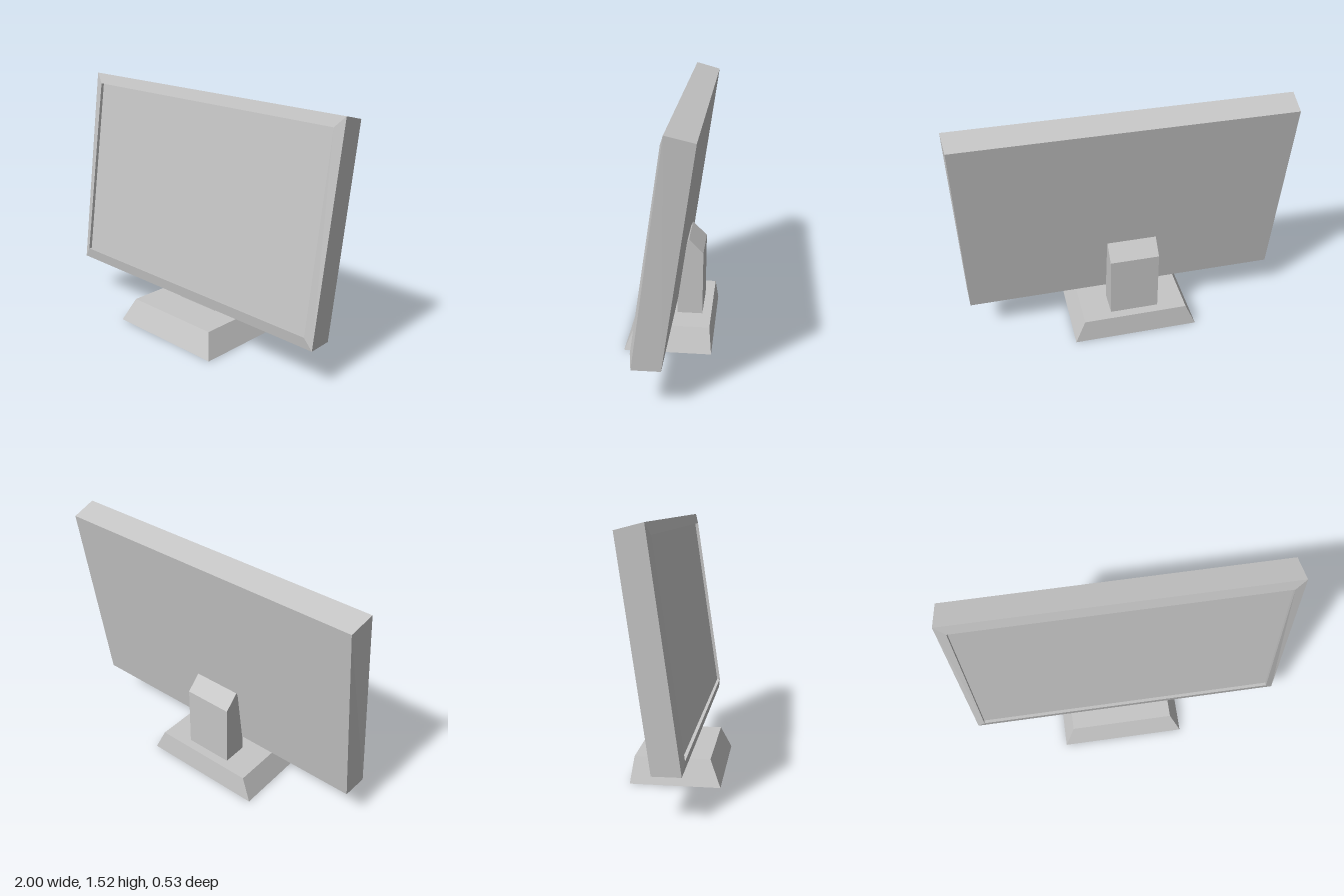
import * as THREE from 'three';

const grey = new THREE.MeshStandardMaterial({ color: 0xc6c6c6 });
grey.name = 'light grey plastic';

// Joins four-cornered rings (counter-clockwise seen from the last one) into a faceted solid.
function loft(rings, capStart = true, capEnd = true) {
  const pos = [];
  const quad = (a, b, c, d) => pos.push(...a, ...b, ...c, ...a, ...c, ...d);
  for (let r = 0; r < rings.length - 1; r++) {
    const p = rings[r], q = rings[r + 1];
    for (let i = 0; i < 4; i++) {
      const j = (i + 1) % 4;
      quad(p[i], p[j], q[j], q[i]);
    }
  }
  if (capStart) {
    const [a, b, c, d] = rings[0];
    quad(d, c, b, a);
  }
  if (capEnd) quad(...rings[rings.length - 1]);
  const geometry = new THREE.BufferGeometry();
  geometry.setAttribute('position', new THREE.Float32BufferAttribute(pos, 3));
  geometry.computeVertexNormals();
  return geometry;
}

// Upright ring: half width, height and depth of its bottom and top edges.
const panelRing = (wBottom, yBottom, zBottom, wTop, yTop, zTop) => [
  [-wBottom, yBottom, zBottom], [wBottom, yBottom, zBottom],
  [wTop, yTop, zTop], [-wTop, yTop, zTop],
];

// Level ring at height y.
const levelRing = (y, x0, x1, zBack, zFront) => [
  [x0, y, zFront], [x1, y, zFront], [x1, y, zBack], [x0, y, zBack],
];

export function createModel() {
  const model = new THREE.Group();
  model.name = 'monitor';
  const add = (name, geometry) => {
    const mesh = new THREE.Mesh(geometry, grey);
    mesh.name = name;
    model.add(mesh);
  };

  // Leaning housing with a bezel rising to the rim of a shallow recess
  const rim = panelRing(0.94, 0.325, 0.13, 0.94, 1.462, -0.036);
  const recess = rim.map(([x, y, z]) => [x, y - 0.003, z - 0.02]);
  add('housing', loft([
    panelRing(0.98, 0.25, -0.04, 0.985, 1.485, -0.215),
    panelRing(0.99, 0.255, 0.12, 1, 1.525, -0.058),
    rim,
    recess,
  ], true, false));

  // Screen at the bottom of the recess
  add('screen', loft([recess], false, true));

  // Neck: side profile (-z, y) extruded across x, its front edge following the housing
  const profile = new THREE.Shape([
    [0.035, 0.14], [0.192, 0.14], [0.194, 0.555], [0.105, 0.643], [0.085, 0.6], [0.035, 0.25],
  ].map(([x, y]) => new THREE.Vector2(x, y)));
  const neck = new THREE.ExtrudeGeometry(profile, { depth: 0.305, bevelEnabled: false });
  neck.rotateY(Math.PI / 2);
  neck.translate(-0.195, 0, 0);
  add('neck', neck);

  // Tapered foot
  add('foot', loft([
    levelRing(0, -0.435, 0.355, -0.265, 0.265),
    levelRing(0.147, -0.37, 0.29, -0.248, 0.2),
  ]));

  return model;
}
